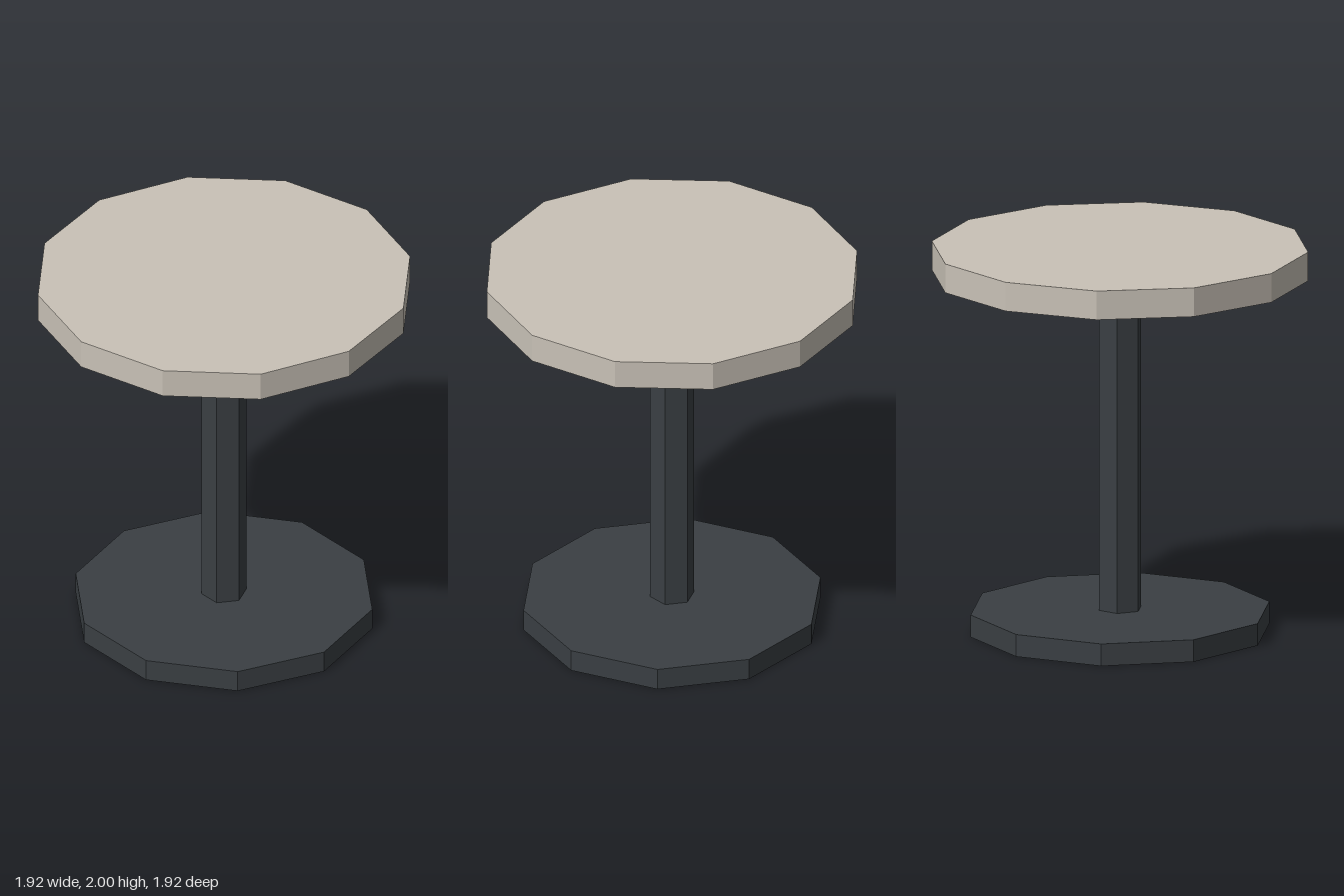
import * as THREE from 'three';

export function createModel() {
  const stone = new THREE.MeshStandardMaterial({ name: 'paleStone', color: 0xc9c2b7, flatShading: true });
  const iron = new THREE.MeshStandardMaterial({ name: 'darkIron', color: 0x3a3f43, flatShading: true });
  const table = new THREE.Group();
  table.name = 'pedestalTable';

  // Upright prism between two heights, with a corner facing the front
  function prism(name, radius, sides, bottom, top, material) {
    const geometry = new THREE.CylinderGeometry(radius, radius, top - bottom, sides);
    const mesh = new THREE.Mesh(geometry, material);
    mesh.name = name;
    mesh.position.y = (bottom + top) / 2;
    table.add(mesh);
  }

  prism('base', 0.77, 10, 0, 0.115, iron);
  prism('post', 0.115, 6, 0.115, 1.85, iron);
  prism('tableTop', 0.96, 12, 1.85, 2, stone);

  return table;
}
